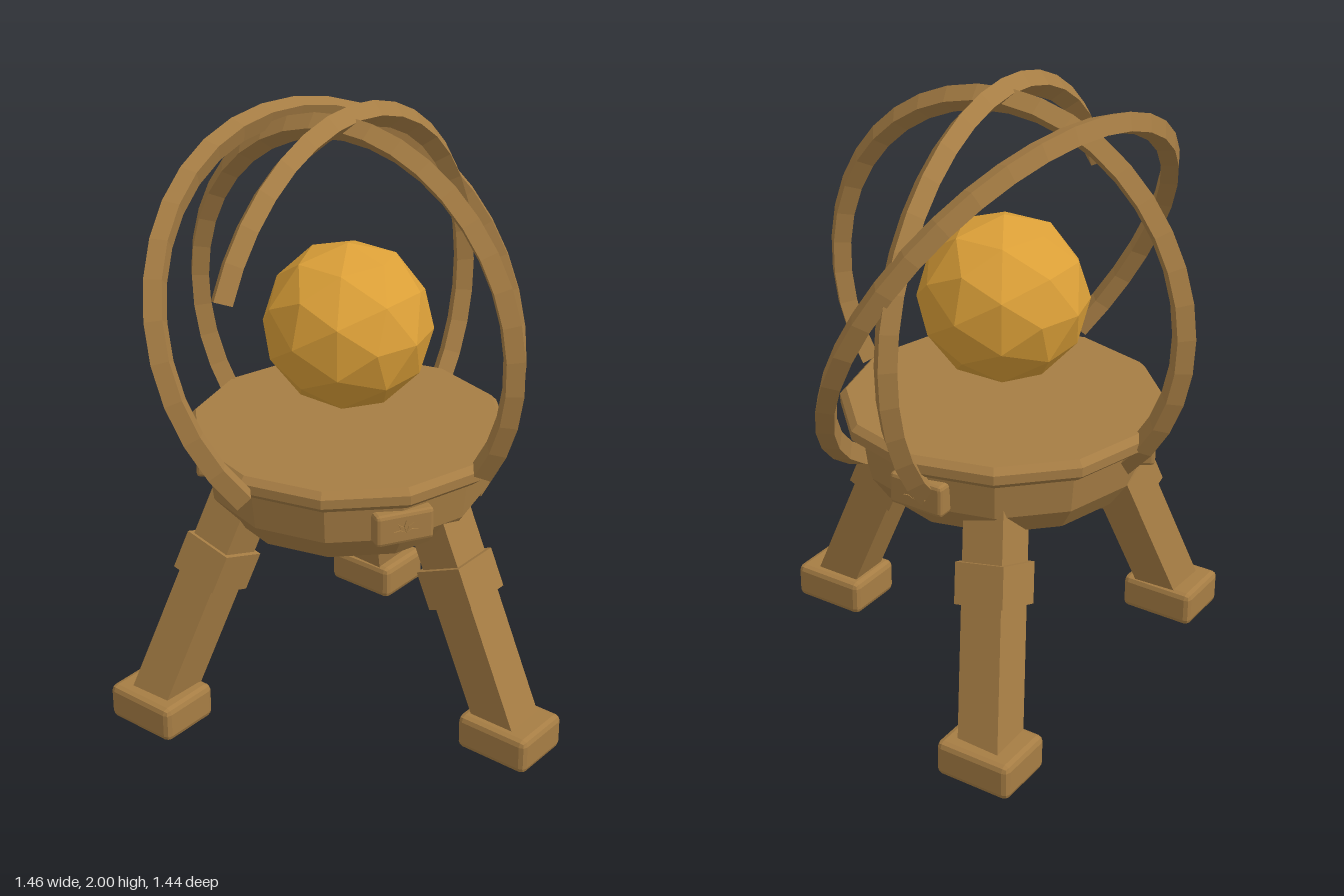
import * as THREE from 'three';
import { mergeGeometries } from 'three/addons/utils/BufferGeometryUtils.js';
import { RoundedBoxGeometry } from 'three/addons/geometries/RoundedBoxGeometry.js';

export function createModel() {
  const model = new THREE.Group();
  const bronze = new THREE.MeshStandardMaterial({ color: 0xa67d44 });
  const gold = new THREE.MeshStandardMaterial({ color: 0xdca038 });
  bronze.name = 'bronze';
  gold.name = 'gold';
  bronze.flatShading = gold.flatShading = true;
  const CX = -0.06; // shared vertical axis
  const V = (x, y, z) => new THREE.Vector3(x, y, z);

  const add = (name, geometry, material = bronze, parent = model) => {
    const mesh = new THREE.Mesh(geometry, material);
    mesh.name = name;
    parent.add(mesh);
    return mesh;
  };

  // Faceted globe
  add('globe', new THREE.IcosahedronGeometry(0.27, 1), gold).position.set(CX, 1.3, 0);

  // Twelve-sided bowl with a chamfered rim
  const profile = [
    [0, 0.69], [0.4, 0.69], [0.455, 0.77], [0.47, 0.895], [0.49, 0.895],
    [0.52, 0.92], [0.52, 0.95], [0.5, 0.97], [0, 0.97],
  ].map(([r, y]) => new THREE.Vector2(r, y));
  add('bowl', new THREE.LatheGeometry(profile, 12)).position.x = CX;

  // Open rings of diamond section with closed ends, lying in the u-v plane
  const ring = (name, radius, start, arc, u, v) => {
    const tube = 0.04;
    const startCap = new THREE.CircleGeometry(tube, 4).rotateX(Math.PI / 2).translate(radius, 0, 0);
    const endCap = new THREE.CircleGeometry(tube, 4).rotateX(-Math.PI / 2).translate(radius, 0, 0).rotateZ(arc);
    const geometry = mergeGeometries([new THREE.TorusGeometry(radius, tube, 4, 28, arc), startCap, endCap]);
    geometry.rotateZ(start);
    u.normalize();
    const w = u.clone().cross(v).normalize();
    const up = w.clone().cross(u);
    geometry.applyMatrix4(new THREE.Matrix4().makeBasis(u, up, w));
    add(name, geometry).position.set(CX, 1.3, 0);
  };
  ring('innerRing', 0.63, -0.59, 4.71, V(1, 0, 0), V(0, 1, 0));
  ring('middleRing', 0.66, 0.42, 4.71, V(0.05, 0, 1), V(0, 1, 0));
  ring('outerRing', 0.69, -0.54, 4.9, V(-0.145, -0.058, 0.986), V(-0.47, 0.88, -0.02));

  // Three splayed square legs, each with a collar and a foot block
  for (let i = 0; i < 3; i++) {
    const a = (i * Math.PI * 2) / 3;
    const at = (r, y) => V(CX + r * Math.cos(a), y, r * Math.sin(a));
    const bottom = at(0.66, 0.07), top = at(0.36, 0.76);
    const axis = top.clone().sub(bottom);
    const leg = new THREE.Group();
    leg.name = 'leg' + (i + 1);
    model.add(leg);

    const tilt = new THREE.Quaternion().setFromUnitVectors(V(0, 1, 0), axis.clone().normalize());
    const post = add('post', new THREE.BoxGeometry(0.145, axis.length(), 0.145), bronze, leg);
    post.position.copy(bottom).lerp(top, 0.5);
    post.quaternion.copy(tilt);

    const collar = add('collar', new THREE.BoxGeometry(0.175, 0.13, 0.175), bronze, leg);
    collar.position.copy(bottom).lerp(top, 0.69);
    collar.quaternion.copy(tilt);

    const foot = add('foot', new RoundedBoxGeometry(0.26, 0.12, 0.215, 1, 0.02), bronze, leg);
    foot.position.copy(at(0.66, 0.06));
  }

  // Three plaques on the bowl, each with a small fan of petals
  const petal = new THREE.Shape([[0, 0], [0.006, 0.02], [0, 0.04], [-0.006, 0.02]]
    .map(([x, y]) => new THREE.Vector2(x, y)));
  for (let i = 0; i < 3; i++) {
    const a = Math.PI / 6 + (i * Math.PI * 2) / 3;
    const plaque = new THREE.Group();
    plaque.name = 'plaque' + (i + 1);
    plaque.position.set(CX + 0.455 * Math.cos(a), 0.822, 0.455 * Math.sin(a));
    plaque.rotation.y = Math.PI / 2 - a;
    model.add(plaque);
    add('plate', new RoundedBoxGeometry(0.19, 0.105, 0.06, 1, 0.012), bronze, plaque);
    for (let k = -2; k <= 2; k++) {
      const leaf = add('petal', new THREE.ExtrudeGeometry(petal, { depth: 0.004, bevelEnabled: false }), bronze, plaque);
      leaf.position.set(0, -0.012, 0.03);
      leaf.rotation.z = k * 0.7;
    }
  }
  return model;
}
